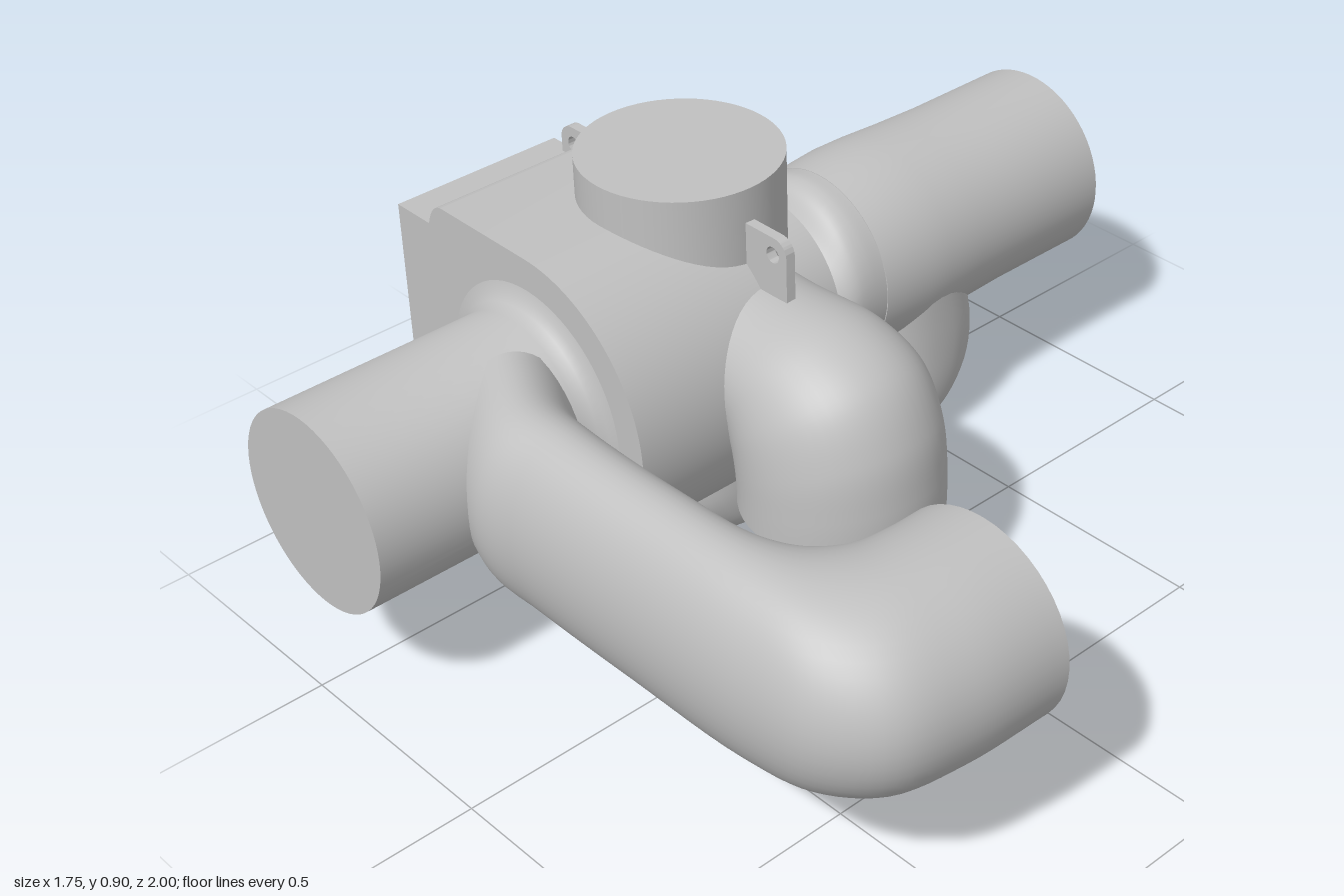
import * as THREE from 'three';
import { toCreasedNormals } from 'three/addons/utils/BufferGeometryUtils.js';

const CX = -0.435, CY = 0.472, CZ = 0.055, R = 0.217;

// Bent duct: each row is [outerA, outerB, innerA, innerB, halfWidth]; map places (a, b, c) in space.
function duct(rows, map, power = 1, steps = 48, sides = 48) {
  const curve = (f) => new THREE.CatmullRomCurve3(rows.map(f), false, 'centripetal');
  const outer = curve((r) => new THREE.Vector3(r[0], r[1], r[4]));
  const inner = curve((r) => new THREE.Vector3(r[2], r[3], 0));
  const soft = (v) => Math.sign(v) * Math.abs(v) ** power;
  const pos = [], index = [], mids = [];
  for (let i = 0; i <= steps; i++) {
    const o = outer.getPoint(i / steps), n = inner.getPoint(i / steps);
    const ma = (o.x + n.x) / 2, mb = (o.y + n.y) / 2;
    mids.push(map(ma, mb, 0));
    for (let j = 0; j < sides; j++) {
      const t = (j / sides) * Math.PI * 2, c = soft(Math.cos(t)), s = soft(Math.sin(t));
      pos.push(...map(ma + (o.x - ma) * c, mb + (o.y - mb) * c, o.z * s));
    }
  }
  // Ring direction relative to the path decides the winding
  const at = (k) => new THREE.Vector3().fromArray(pos, k * 3);
  const m0 = new THREE.Vector3(...mids[0]);
  const u = at(0).sub(m0), w = at(sides / 4).sub(m0);
  const along = new THREE.Vector3(...mids[1]).sub(m0);
  const forward = u.cross(w).dot(along) > 0;
  const tri = (a, b, c) => (forward ? index.push(a, b, c) : index.push(a, c, b));
  for (let i = 0; i < steps; i++) {
    for (let j = 0; j < sides; j++) {
      const k = (j + 1) % sides, a = i * sides, b = a + sides;
      tri(a + j, a + k, b + j);
      tri(a + k, b + k, b + j);
    }
  }
  // Flat end caps with their own vertices
  for (const end of [0, steps]) {
    const base = pos.length / 3;
    pos.push(...mids[end]);
    for (let j = 0; j < sides; j++) pos.push(...at(end * sides + j).toArray());
    for (let j = 0; j < sides; j++) {
      const p = base + 1 + j, q = base + 1 + ((j + 1) % sides);
      if (end) tri(base, p, q); else tri(base, q, p);
    }
  }
  const g = new THREE.BufferGeometry();
  g.setAttribute('position', new THREE.Float32BufferAttribute(pos, 3));
  g.setIndex(index);
  g.computeVertexNormals();
  return g;
}

// Round pipe along z from [radius, z] points
function pipeZ(profile) {
  const g = new THREE.LatheGeometry(profile.map(([r, z]) => new THREE.Vector2(r, z)), 64);
  g.rotateX(Math.PI / 2).translate(CX, CY, 0);
  return toCreasedNormals(g, 0.6);
}

function extrude(shape, depth, z) {
  const g = new THREE.ExtrudeGeometry(shape, { depth, bevelEnabled: false, curveSegments: 32 });
  g.translate(0, 0, z);
  return toCreasedNormals(g, 0.5);
}

export function createModel() {
  const model = new THREE.Group();
  model.name = 'ductAssembly';
  const grey = new THREE.MeshStandardMaterial({ color: 0xc0c0c0 });
  grey.name = 'light grey';
  const add = (name, geometry, parent = model) => {
    const mesh = new THREE.Mesh(geometry, grey);
    mesh.name = name;
    parent.add(mesh);
    return mesh;
  };

  // Housing: rounded on its left, stepped box on its right
  const body = new THREE.Shape();
  body.moveTo(-0.862, 0.19);
  body.lineTo(-0.755, 0.19);
  body.quadraticCurveTo(-0.74, 0.135, -0.705, 0.135);
  body.lineTo(CX, 0.135);
  body.absarc(CX, CY, 0.337, -Math.PI / 2, Math.PI / 2, false);
  body.lineTo(-0.705, 0.809);
  body.quadraticCurveTo(-0.74, 0.809, -0.755, 0.755);
  body.lineTo(-0.862, 0.755);
  body.closePath();
  add('housing', extrude(body, 0.41, 0.05));

  // Mounting plate with four rounded, drilled corners
  const plate = new THREE.Shape();
  const x0 = -0.805, x1 = -0.1, y0 = 0.12, y1 = 0.825, r = 0.035;
  plate.absarc(x1 - r, y0 + r, r, -Math.PI / 2, 0, false);
  plate.absarc(x1 - r, y1 - r, r, 0, Math.PI / 2, false);
  plate.absarc(x0 + r, y1 - r, r, Math.PI / 2, Math.PI, false);
  plate.absarc(x0 + r, y0 + r, r, Math.PI, Math.PI * 1.5, false);
  for (const x of [-0.765, -0.14]) {
    for (const y of [0.16, 0.785]) {
      plate.holes.push(new THREE.Path().absarc(x, y, 0.018, 0, Math.PI * 2, true));
    }
  }
  add('mountingPlate', extrude(plate, 0.023, 0.049));

  // Straight pipes
  add('frontPipe', pipeZ([[0, 0.4], [0.265, 0.4], [0.265, 0.46], [0.245, 0.466], [0.228, 0.479],
    [R, 0.505], [R, 1], [0, 1]]));
  add('rearNeck', pipeZ([[0, -0.19], [R, -0.19], [R, 0.1], [0, 0.1]].sort((a, b) => a[1] - b[1])));
  add('rearPipe', pipeZ([[0, -1], [R, -1], [R, -0.75], [0.221, -0.62], [0.226, -0.52], [0.227, -0.45],
    [0.222, -0.38], [R, -0.33], [0, -0.33]]));
  const top = new THREE.CylinderGeometry(R, R, 0.43, 64);
  top.translate(CX, 0.685, CZ);
  add('topPipe', top);

  // Notched collar between neck and rear pipe
  add('collar', duct([
    [-0.185, 0.59, -0.185, 0.257, 0.215],
    [-0.22, 0.625, -0.22, 0.257, 0.215],
    [-0.26, 0.675, -0.26, 0.257, 0.215],
    [-0.29, 0.688, -0.29, 0.256, 0.215],
    [-0.335, 0.688, -0.335, 0.256, 0.215],
  ], (a, b, c) => [CX + c, b, a]));

  // Long flattened branch that turns to the rear
  add('frontBranch', duct([
    [-0.4, 0.7, -0.3, 0.46, 0.215],
    [-0.2, 0.8, -0.18, 0.525, 0.215],
    [-0.08, 0.8, -0.06, 0.545, R],
    [0.2, 0.8, 0.2, 0.547, R],
    [0.55, 0.797, 0.32, 0.535, R],
    [0.72, 0.77, 0.39, 0.492, R],
    [0.83, 0.68, 0.43, 0.425, R],
    [0.868, 0.52, 0.44, 0.36, R],
    [0.877, 0.3, 0.44, 0.3, R],
  ], (a, b, c) => [a, CY + c, b]));

  // Side elbow opening downward
  add('sideElbow', duct([
    [-0.4, 0.69, -0.4, 0.4, 0.185],
    [-0.16, 0.69, -0.23, 0.4, 0.172],
    [0.04, 0.685, -0.195, 0.385, 0.19],
    [0.17, 0.62, -0.182, 0.36, 0.208],
    [0.235, 0.5, -0.177, 0.33, 0.215],
    [0.253, 0.38, -0.175, 0.3, 0.216],
    [0.255, 0.28, -0.175, 0.28, 0.216],
  ], (a, b, c) => [a, b, CZ + c]));

  // Flattened bypass under the housing, joining the rear pipe
  add('bypass', duct([
    [0.26, 0.45, -0.15, 0.45, 0.205],
    [0.262, 0.2, -0.145, 0.26, 0.208],
    [0.245, 0.11, -0.14, 0.235, 0.21],
    [0.17, 0.03, -0.142, 0.222, 0.21],
    [0.03, 0.003, -0.155, 0.215, 0.21],
    [-0.2, 0, -0.2, 0.212, 0.21],
    [-0.45, 0.003, -0.25, 0.215, 0.21],
    [-0.6, 0.035, -0.3, 0.235, 0.21],
    [-0.68, 0.13, -0.325, 0.265, 0.212],
    [-0.7, 0.25, -0.332, 0.33, 0.214],
    [-0.66, 0.42, -0.335, 0.42, 0.214],
  ], (a, b, c) => [CX + c, b, a], 0.88));

  // Control panel: switch block, vent slats, indicator and screws
  const panel = new THREE.Group();
  panel.name = 'controlPanel';
  model.add(panel);
  const block = (name, h, d, y, z, out) =>
    add(name, new THREE.BoxGeometry(out, h, d), panel).position.set(-0.862 - out / 2, y, z);
  block('switchBlock', 0.165, 0.08, 0.635, 0.16, 0.016);
  block('indicator', 0.03, 0.03, 0.51, 0.14, 0.006);
  for (const y of [0.69, 0.65, 0.61, 0.57, 0.44, 0.405, 0.37, 0.335, 0.3]) {
    block('ventSlat', 0.018, 0.17, y, 0.33, 0.006);
  }
  for (const y of [0.22, 0.47, 0.73]) {
    for (const z of [0.085, 0.435]) {
      const screw = add('screw', new THREE.CylinderGeometry(0.011, 0.011, 0.008, 16), panel);
      screw.rotation.z = Math.PI / 2;
      screw.position.set(-0.864, y, z);
    }
  }
  return model;
}
